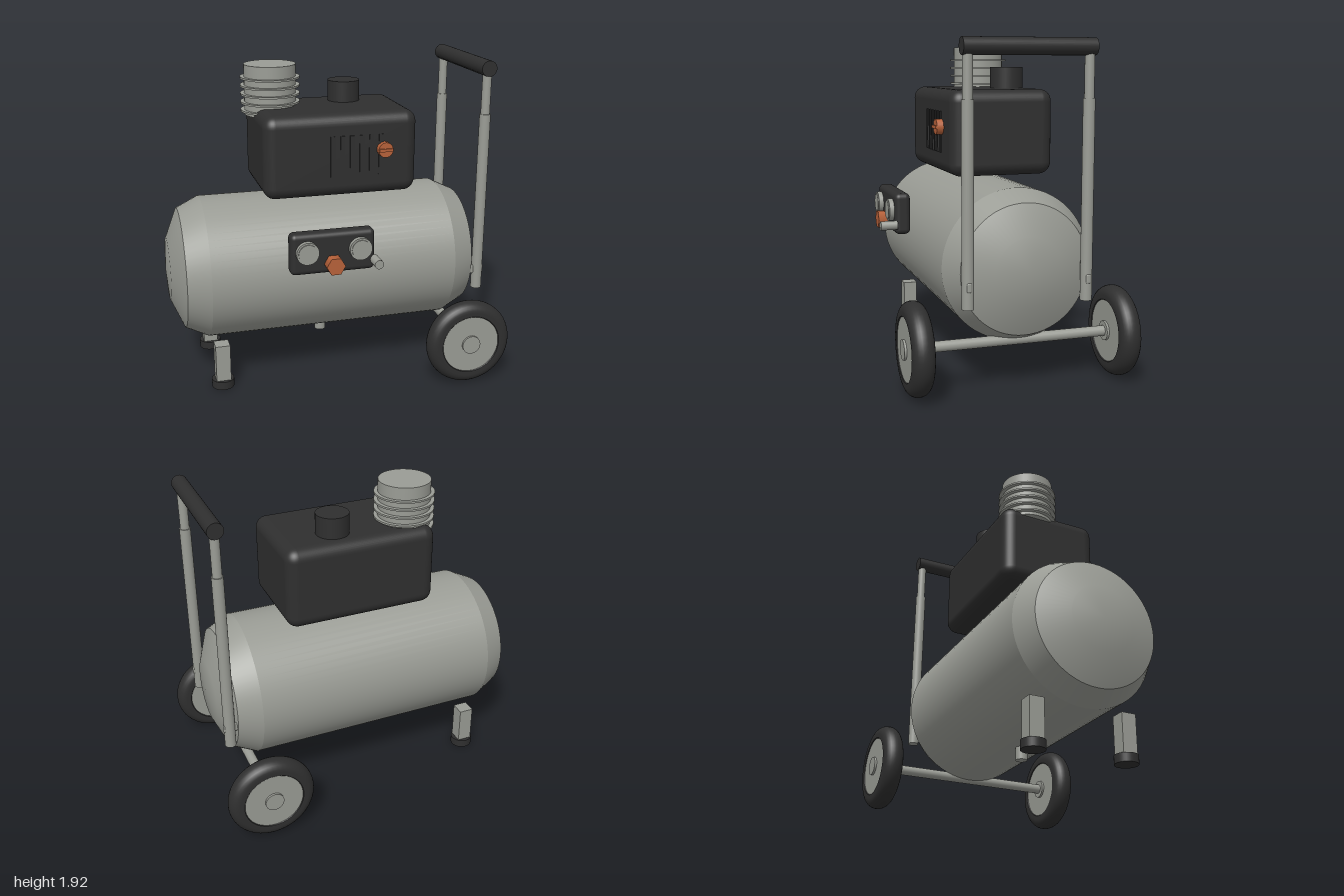
import * as THREE from 'three';
import { toCreasedNormals } from 'three/addons/utils/BufferGeometryUtils.js';
import { RoundedBoxGeometry } from 'three/addons/geometries/RoundedBoxGeometry.js';

const mat = (name, color) => {
  const m = new THREE.MeshStandardMaterial({ color });
  m.name = name;
  return m;
};

export function createModel() {
  const root = new THREE.Group();
  root.name = 'airCompressor';
  const metal = mat('greyMetal', 0x9a9c95);
  const dark = mat('darkPlastic', 0x2f2f2f);
  const orange = mat('orangeControl', 0xb8623a);

  const add = (name, geo, m, x, y, z, parent = root) => {
    const mesh = new THREE.Mesh(geo, m);
    mesh.name = name;
    mesh.position.set(x, y, z);
    parent.add(mesh);
    return mesh;
  };
  // Cylinder of radius r and length h along the given axis
  const cyl = (r, h, axis = 'y', seg = 32) => {
    const g = new THREE.CylinderGeometry(r, r, h, seg);
    if (axis === 'x') g.rotateZ(-Math.PI / 2);
    if (axis === 'z') g.rotateX(Math.PI / 2);
    return g;
  };
  const lathe = (pts, seg, crease) => toCreasedNormals(
    new THREE.LatheGeometry(pts.map(([r, y]) => new THREE.Vector2(r, y)), seg), crease);

  // Tank: straight shell, chamfered shoulders and shallow domed ends
  const half = [[0.43, 0.74], [0.365, 0.875], [0.19, 0.95], [0, 0.965]];
  const profile = [...half.map(([r, y]) => [r, -y]).reverse(), ...half];
  add('tank', lathe(profile, 64, 0.4).rotateZ(-Math.PI / 2), metal, -0.035, 0.68, 0);
  add('drainValve', cyl(0.035, 0.1), metal, -0.035, 0.225, 0);

  // Motor housing with vent ribs and switch
  add('motorHousing', new RoundedBoxGeometry(0.92, 0.49, 0.612, 5, 0.07), dark, 0.025, 1.39, 0);
  for (let i = 0; i < 6; i++) {
    add('ventRib', new THREE.BoxGeometry(0.026, 0.24, 0.02), dark, -0.035 + i * 0.058, 1.39, 0.303);
  }
  add('switchKnob', cyl(0.045, 0.05, 'z', 16), orange, 0.275, 1.42, 0.32);
  add('switchGrip', new THREE.BoxGeometry(0.085, 0.018, 0.015), orange, 0.275, 1.42, 0.347);

  // Finned cylinder head and breather cap
  add('cylinderHead', cyl(0.155, 0.3, 'y', 40), metal, -0.315, 1.73, -0.1);
  for (let i = 0; i < 5; i++) {
    add('coolingFin', cyl(0.178, 0.011, 'y', 40), metal, -0.315, 1.605 + i * 0.049, -0.1);
  }
  add('breatherCap', cyl(0.098, 0.16), dark, 0.15, 1.68, -0.13);

  // Control panel with gauges, regulator and outlet
  add('controlPanel', new RoundedBoxGeometry(0.495, 0.245, 0.093, 4, 0.03), dark, -0.098, 0.898, 0.51);
  for (const x of [-0.253, 0.058]) {
    add('gauge', cyl(0.066, 0.035, 'z'), metal, x, 0.915, 0.567);
    add('gaugeFace', cyl(0.055, 0.006, 'z'), metal, x, 0.915, 0.587);
  }
  add('regulatorKnob', cyl(0.055, 0.07, 'z', 6).rotateZ(Math.PI / 6), orange, -0.098, 0.835, 0.582);
  add('airOutlet', cyl(0.027, 0.1, 'z', 20), metal, 0.147, 0.835, 0.597);

  // Telescopic handle
  for (const z of [-0.338, 0.338]) {
    add('handleTube', cyl(0.033, 1.1, 'y', 24), metal, 0.888, 1.05, z);
    add('handleInnerTube', cyl(0.027, 0.28, 'y', 24), metal, 0.888, 1.73, z);
    add('handleClamp', new RoundedBoxGeometry(0.1, 0.055, 0.028, 2, 0.01), metal, 0.875, 0.622, z);
  }
  add('handleGrip', cyl(0.047, 0.74, 'z'), dark, 0.888, 1.87, 0);

  // Axle and wheels
  const ax = 0.735, ay = 0.263;
  add('axle', cyl(0.03, 1.2, 'z', 24), metal, ax, ay, 0);
  // Closed tyre section: flat side walls and a rounded tread
  const tyre = [[0.172, -0.05], [0.18, -0.06]];
  for (let i = 0; i <= 12; i++) {
    const a = -Math.PI / 2 + (i / 12) * Math.PI;
    tyre.push([0.205 + 0.055 * Math.cos(a), 0.061 * Math.sin(a)]);
  }
  tyre.push([0.18, 0.06], [0.172, 0.05]);
  for (const side of [-1, 1]) {
    const wheel = new THREE.Group();
    wheel.name = side > 0 ? 'frontWheel' : 'backWheel';
    wheel.position.set(ax, ay, side * 0.59);
    root.add(wheel);
    add('tyre', lathe(tyre, 48, 0.6).rotateX(Math.PI / 2), dark, 0, 0, 0, wheel);
    add('wheelDisc', cyl(0.176, 0.112, 'z', 48), metal, 0, 0, 0, wheel);
    add('hub', cyl(0.056, 0.138, 'z'), metal, 0, 0, 0, wheel);
  }

  // Square legs on round rubber feet
  for (const z of [-0.278, 0.278]) {
    add('leg', new THREE.BoxGeometry(0.088, 0.23, 0.088), metal, -0.714, 0.162, z);
    add('foot', cyl(0.067, 0.05), dark, -0.714, 0.025, z);
  }
  return root;
}
